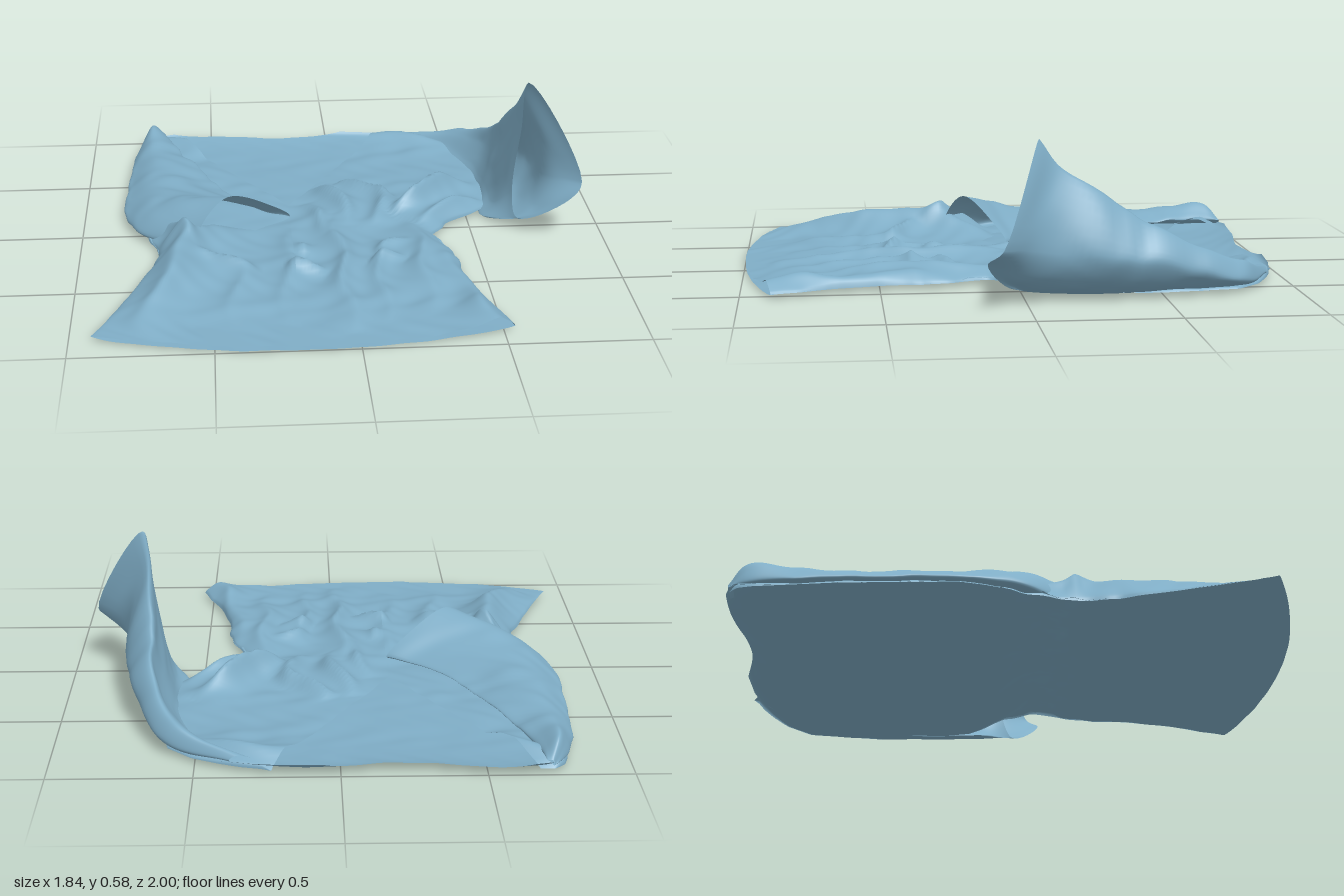
import * as THREE from 'three';

const V = (x, y, z) => new THREE.Vector3(x, y, z);
const cloth = new THREE.MeshStandardMaterial({ color: 0x7fadc6, side: THREE.DoubleSide });

// Grid surface from a rule (u, v) -> point
function sheet(name, nu, nv, point) {
  const pos = [], index = [];
  for (let j = 0; j <= nv; j++) for (let i = 0; i <= nu; i++) pos.push(...point(i / nu, j / nv).toArray());
  for (let j = 0; j < nv; j++) for (let i = 0; i < nu; i++) {
    const a = j * (nu + 1) + i, b = a + 1, c = a + nu + 1, d = c + 1;
    index.push(a, c, b, b, c, d);
  }
  const g = new THREE.BufferGeometry();
  g.setAttribute('position', new THREE.Float32BufferAttribute(pos, 3));
  g.setIndex(index);
  g.computeVertexNormals();
  const mesh = new THREE.Mesh(g, cloth);
  mesh.name = name;
  return mesh;
}

// Irregular cloth ripple, about -1 to 1
const ripple = (x, z) => 0.6 * Math.sin(13 * x + 2.1 * Math.sin(9 * z)) * Math.sin(11 * z + 1.7 * Math.sin(8 * x))
  + 0.4 * Math.sin(29 * x + 2 * Math.sin(17 * z)) * Math.sin(23 * z - 11 * x);

// Tube lofted through rings of points [x, y, z], open at both ends
function sleeve(name, rings, nu, nv) {
  const rails = rings[0].map((_, k) => new THREE.CatmullRomCurve3(rings.map(r => V(...r[k]))));
  const cache = new Map();
  return sheet(name, nu, nv, (u, v) => {
    if (!cache.has(v)) cache.set(v, new THREE.CatmullRomCurve3(rails.map(r => r.getPoint(v)), true));
    const p = cache.get(v).getPoint(u % 1);
    const w = 0.014 * ripple(p.x + p.y, p.z) * Math.sin(Math.PI * v);
    p.x += w * 0.6;
    p.y = Math.max(0.006, p.y + w * Math.min(1, p.y / 0.06));
    return p;
  });
}

// Straight-line lookup in a table of [z, x]
function lookup(table, z) {
  if (z <= table[0][0]) return table[0][1];
  for (let i = 1; i < table.length; i++) {
    const [z0, x0] = table[i - 1], [z1, x1] = table[i];
    if (z <= z1) return x0 + (x1 - x0) * (z - z0) / (z1 - z0);
  }
  return table[table.length - 1][1];
}

// Side outlines of the body
const rightSide = [[-1, -0.66], [-0.98, -0.73], [-0.95, -0.765], [-0.9, -0.78], [-0.6, -0.82], [-0.2, -0.84], [-0.1, -0.82],
  [0, -0.77], [0.15, -0.71], [0.3, -0.71], [0.36, -0.73], [0.6, -0.81], [0.8, -0.87], [1, -0.925]];
const leftSide = [[-1, 0.06], [-0.98, 0.2], [-0.95, 0.33], [-0.92, 0.41], [-0.87, 0.51], [-0.78, 0.6], [-0.5, 0.64],
  [-0.2, 0.62], [-0.1, 0.52], [0, 0.4], [0.1, 0.35], [0.2, 0.37], [0.3, 0.41], [0.5, 0.42], [0.7, 0.46], [0.85, 0.51], [1, 0.54]];
const CENTRE = -0.2, VEE = -0.18;
const gauss = (d, w) => Math.exp(-(d * d) / (w * w));
const edge = (table, z) => lookup(table, z) + 0.008 * Math.sin(z * 37 + Math.sin(z * 19)) * gauss(z - 0.15, 0.3);

// Curved hem and dipped back neckline
function bendZ(x, z) {
  const hem = (x > CENTRE ? 0.108 : 0.13) * ((x - CENTRE) / 0.73) ** 2 * Math.max(0, z) ** 3;
  const neck = 0.05 * gauss(x - CENTRE, 0.22) * Math.max(0, -z) ** 3;
  return z - hem + neck;
}

// Folds: start x, z, end x, z, width, height
const folds = [
  [-0.19, 0.05, -0.26, 0.85, 0.06, 0.03], [-0.03, -0.05, -0.02, 0.95, 0.06, 0.05], [0.12, 0.2, 0.1, 0.85, 0.05, 0.03],
  [0.28, -0.05, 0.27, 0.85, 0.07, 0.045], [-0.5, 0.0, -0.78, 0.95, 0.11, 0.11], [-0.38, 0.3, -0.45, 0.9, 0.07, 0.03],
  [-0.05, -0.36, 0.04, 0.06, 0.045, 0.06], [0.03, -0.38, 0.2, -0.2, 0.04, 0.05], [0.17, -0.3, 0.14, 0.06, 0.045, 0.05],
  [0.2, -0.05, 0.52, -0.38, 0.06, 0.11], [0.3, 0.03, 0.58, -0.2, 0.05, 0.06], [-0.14, -0.2, -0.05, 0.14, 0.04, 0.04],
  [-0.54, 0.34, -0.34, 0.44, 0.04, 0.04], [-0.25, 0.43, -0.08, 0.48, 0.035, 0.045], [0.07, 0.37, 0.22, 0.4, 0.04, 0.04],
  [0.08, 0.31, 0.24, 0.21, 0.035, 0.03], [-0.18, 0.33, -0.14, 0.21, 0.035, 0.035], [0.08, -0.94, 0.54, -0.8, 0.07, 0.065],
  [0.36, 0.2, 0.55, 1.5, 0.09, 0.06], [-0.74, 0.05, -0.54, 0.3, 0.05, 0.07], [-0.72, 0.22, -0.56, 0.22, 0.04, 0.04],
  [-0.78, -1.02, -0.5, -0.72, 0.07, 0.06],
];
function foldHeight(x, z) {
  let y = 0.009 * ripple(x, z);
  // Wavy coordinates keep the folds from running straight
  const wx = x + 0.018 * Math.sin(14 * z + 5 * x), wz = z + 0.018 * Math.sin(15 * x - 4 * z);
  for (const [x0, z0, x1, z1, w, h] of folds) {
    const dx = x1 - x0, dz = z1 - z0;
    const t = Math.min(1, Math.max(0, ((wx - x0) * dx + (wz - z0) * dz) / (dx * dx + dz * dz)));
    const d = Math.hypot(wx - x0 - t * dx, wz - z0 - t * dz);
    y += h * Math.sin(Math.PI * t ** 0.8) * Math.exp(-1.6 * Math.hypot(d / w, 0.25) + 0.4);
  }
  return y;
}

// Half of the front, from the neckline or centre line to the side
function frontHalf(name, side, neckTop) {
  return sheet(name, 60, 120, (u, v) => {
    const z = -0.98 + 1.98 * v, out = 1 - (1 - u) ** 1.3;
    const k = Math.max(0, (VEE - z) / (VEE + 0.95));
    const inner = CENTRE + (neckTop - CENTRE) * k;
    const x = inner + (Math.max(edge(side, z) * Math.sign(neckTop), inner * Math.sign(neckTop)) * Math.sign(neckTop) - inner) * out;
    const taper = Math.sqrt(1 - out ** 10) * Math.min(1, Math.sqrt(v * 11));
    const base = 0.03 - 0.016 * Math.max(0, z);
    return V(x, 0.017 + taper * Math.max(0.004, base - 0.01 + foldHeight(x, z)), bendZ(x, z));
  });
}

export function createModel() {
  const top = new THREE.Group();
  top.name = 'wrapBlouse';

  // Back lying on the ground
  top.add(sheet('backPanel', 56, 90, (u, v) => {
    const z = -1 + 2 * v, a = edge(rightSide, z), b = edge(leftSide, z);
    const x = a + (b - a) * u, rim = Math.abs(2 * u - 1) ** 10;
    const crumple = 0.014 * gauss(z - 0.12, 0.14) * (1 + ripple(2 * x, 2 * z));
    const y = 0.006 + 0.011 * rim + crumple + 0.025 * Math.max(0, -z) ** 10 + 0.004 * ripple(x, z);
    return V(x, Math.max(0, y), bendZ(x, z));
  }));

  // Front with the deep neckline
  top.add(frontHalf('leftFront', leftSide, 0.22));
  top.add(frontHalf('rightFront', rightSide, -0.66));

  // Left sleeve standing up; last ring is the open cuff
  const ring = (z, ...xy) => xy.map(([x, y, dz = 0]) => [x, y, z + dz]);
  top.add(sleeve('leftSleeve', [
    ring(-0.93, [0.3, 0.02], [0.34, 0.02], [0.38, 0.035], [0.36, 0.05], [0.33, 0.05], [0.3, 0.04]),
    ring(-0.8, [0.45, 0.02], [0.55, 0.02], [0.61, 0.05], [0.57, 0.11], [0.52, 0.09], [0.48, 0.05]),
    ring(-0.55, [0.55, 0.015], [0.65, 0.035], [0.72, 0.12], [0.66, 0.21], [0.63, 0.13], [0.58, 0.05]),
    ring(-0.3, [0.58, 0.01], [0.7, 0.05], [0.775, 0.17], [0.68, 0.36], [0.645, 0.2], [0.6, 0.06]),
    ring(-0.12, [0.56, 0.01, 0.02], [0.74, 0.085, 0.12], [0.8, 0.2, 0.08], [0.7, 0.48], [0.665, 0.28], [0.61, 0.06]),
    ring(-0.04, [0.68, 0.05, 0.07], [0.86, 0.17, 0.19], [0.915, 0.225, 0.14], [0.72, 0.58], [0.695, 0.4, 0.02], [0.665, 0.15, 0.03]),
  ], 48, 48));

  // Right sleeve folded across the front: inner x, z, outer x, z, crest height
  const foldedRings = [
    [-0.7, -0.985, -0.73, -0.985, 0.05], [-0.685, -0.92, -0.775, -0.92, 0.12], [-0.62, -0.7, -0.815, -0.75, 0.105],
    [-0.5, -0.4, -0.835, -0.45, 0.105], [-0.4, -0.2, -0.84, -0.15, 0.12], [-0.29, -0.08, -0.78, 0.04, 0.16],
    [-0.2, -0.02, -0.57, 0.21, 0.21],
  ].map(([xi, zi, xo, zo, h]) => {
    const at = (t, y) => [xi + (xo - xi) * t, y, zi + (zo - zi) * t];
    const low = Math.min(0.06, h);
    return [at(0, low), at(0.2, low + (h - low) * 0.45), at(0.65, h), at(0.9, h * 0.65),
      at(1, 0.035), at(0.8, 0.03), at(0.3, 0.045)];
  });
  top.add(sleeve('rightSleeve', foldedRings, 56, 60));
  return top;
}
